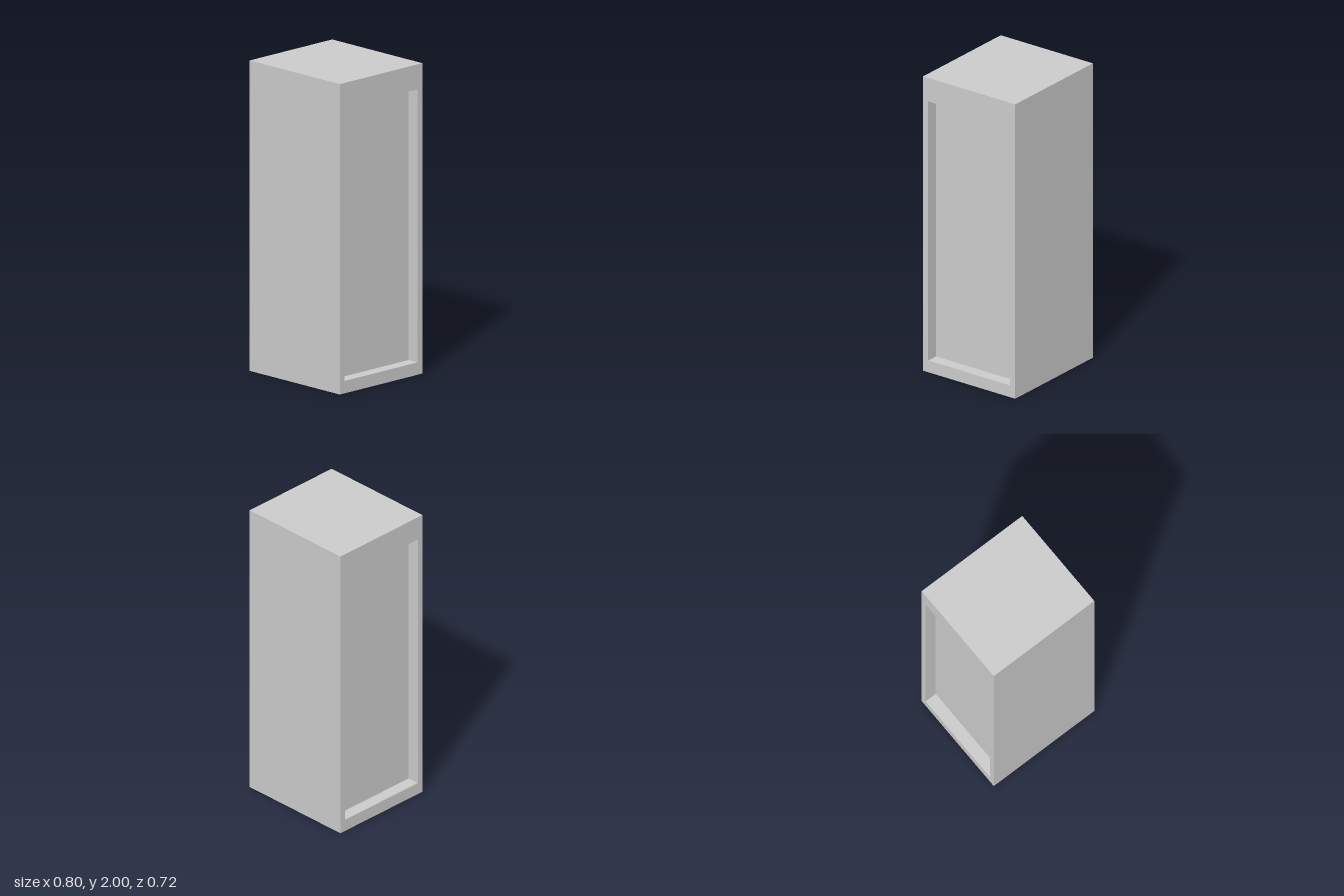
import * as THREE from 'three';

const WIDTH = 0.8, HEIGHT = 2, DEPTH = 0.72;
const RECESS = 0.08; // how far each side panel sits behind its frame
const OPENING = { z: 0.32, bottom: 0.08, top: 1.84 };

function rectangle(target, halfWidth, bottom, top) {
  target.moveTo(-halfWidth, bottom);
  target.lineTo(halfWidth, bottom);
  target.lineTo(halfWidth, top);
  target.lineTo(-halfWidth, top);
  target.closePath();
  return target;
}

export function createModel() {
  const group = new THREE.Group();
  group.name = 'cabinet';
  const material = new THREE.MeshStandardMaterial({ color: 0xcccccc, flatShading: true });

  // Outer casing: a rectangular tube running across the full width
  const outline = rectangle(new THREE.Shape(), DEPTH / 2, 0, HEIGHT);
  outline.holes.push(rectangle(new THREE.Path(), OPENING.z, OPENING.bottom, OPENING.top));
  const casingGeometry = new THREE.ExtrudeGeometry(outline, { depth: WIDTH, bevelEnabled: false });
  casingGeometry.translate(0, 0, -WIDTH / 2);
  casingGeometry.rotateY(Math.PI / 2);
  const casing = new THREE.Mesh(casingGeometry, material);
  casing.name = 'casing';
  group.add(casing);

  // Core filling the tube, its ends forming the recessed left and right panels
  const height = OPENING.top - OPENING.bottom;
  const core = new THREE.Mesh(
    new THREE.BoxGeometry(WIDTH - 2 * RECESS, height, 2 * OPENING.z), material);
  core.position.y = OPENING.bottom + height / 2;
  core.name = 'recessedSidePanels';
  group.add(core);

  return group;
}
